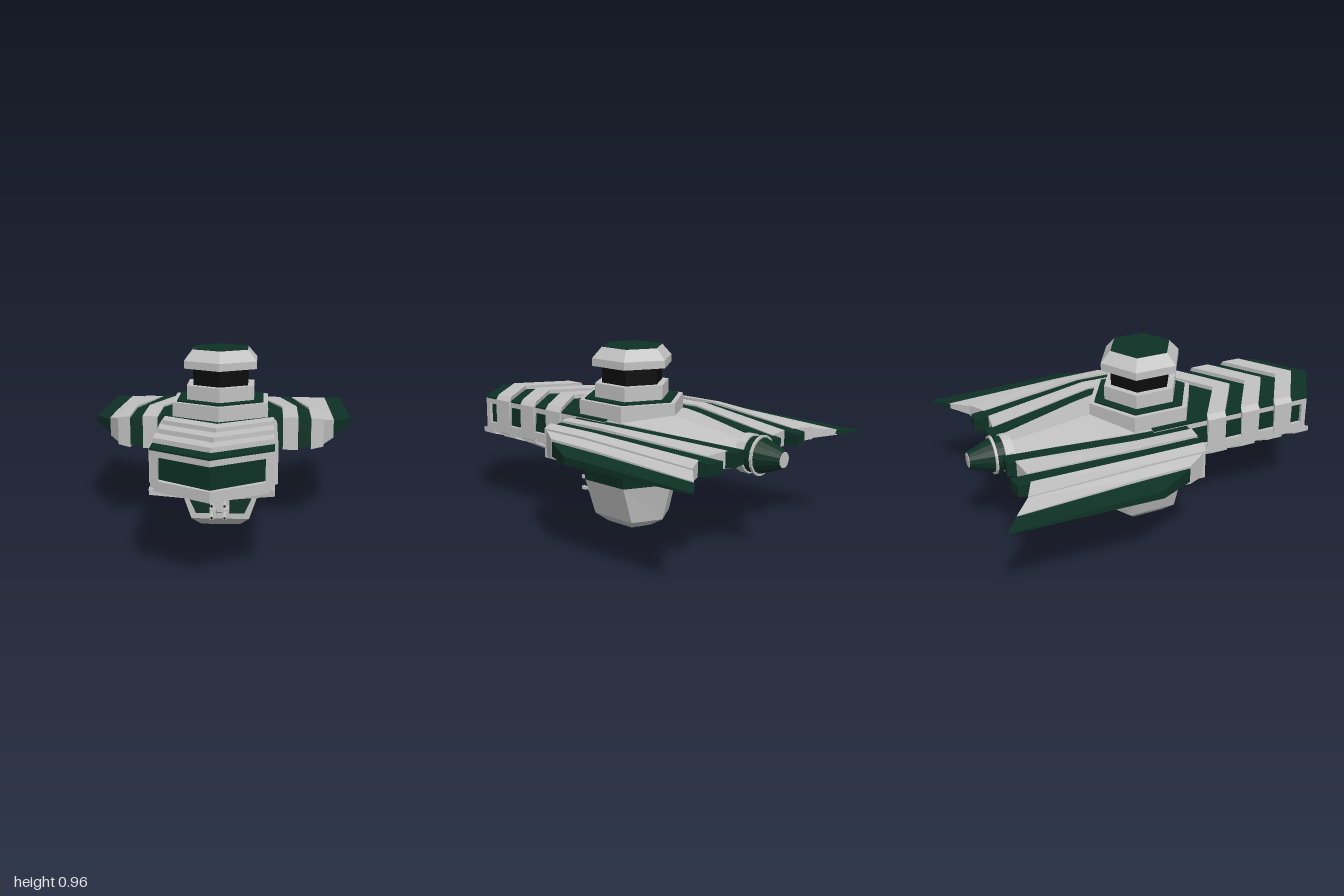
import * as THREE from 'three';

const mat = (name, color) => {
  const m = new THREE.MeshStandardMaterial({ color });
  m.name = name;
  return m;
};

export function createModel() {
  const root = new THREE.Group();
  root.name = 'spaceship';
  const grey = mat('hull grey', 0xc2c2c2);
  const green = mat('dark green', 0x0e3125);
  const black = mat('black', 0x0b0b0b);

  // Adds a mesh with flat facets
  const add = (name, geo, material) => {
    const g = geo.index ? geo.toNonIndexed() : geo;
    g.computeVertexNormals();
    const mesh = new THREE.Mesh(g, material);
    mesh.name = name;
    root.add(mesh);
    return mesh;
  };

  // Closed solid from equal-length loops of [x, y, z]; faces are turned outward
  const loft = (loops) => {
    const tris = [];
    const n = loops[0].length;
    for (let s = 0; s < loops.length - 1; s++) {
      for (let i = 0; i < n; i++) {
        const j = (i + 1) % n, p = loops[s], q = loops[s + 1];
        tris.push([p[i], p[j], q[j]], [p[i], q[j], q[i]]);
      }
    }
    const first = loops[0], last = loops[loops.length - 1];
    for (let i = 1; i < n - 1; i++) {
      tris.push([first[0], first[i + 1], first[i]], [last[0], last[i], last[i + 1]]);
    }
    let volume = 0;
    const v = tris.map((t) => t.map((p) => new THREE.Vector3(...p)));
    v.forEach(([a, b, c]) => { volume += a.dot(b.clone().cross(c)); });
    const pts = v.flatMap((t) => (volume < 0 ? [t[0], t[2], t[1]] : t));
    return new THREE.BufferGeometry().setFromPoints(pts);
  };
  const flipX = (loops) => loops.map((l) => l.map(([x, y, z]) => [-x, y, z]));
  const addPair = (name, loops, material) => {
    add(name + 'Left', loft(loops), material);
    add(name + 'Right', loft(flipX(loops)), material);
  };

  // Upright slab from a plan outline of [x, z]
  const slab = (outline, y0, y1) =>
    loft([y0, y1].map((y) => outline.map(([x, z]) => [x, y, z])));
  const TIP = 0.185;
  const arrow = (w, side, back) => [[-w, back], [-w, side], [0, side + TIP], [w, side], [w, back]];

  // Six-sided command tower
  const tier = (name, y0, y1, rBottom, rTop, material) => {
    const m = add(name, new THREE.CylinderGeometry(rTop, rBottom, y1 - y0, 6), material);
    m.position.set(0, (y0 + y1) / 2, -0.048);
  };
  tier('towerBase', 0.56, 0.688, 0.288, 0.288, grey);
  tier('towerTrim', 0.688, 0.696, 0.26, 0.26, green);
  tier('towerStep', 0.69, 0.77, 0.204, 0.204, grey);
  tier('towerNeck', 0.77, 0.86, 0.166, 0.166, black);
  tier('towerCapRim', 0.86, 0.9, 0.219, 0.219, grey);
  tier('towerCapSlope', 0.9, 0.957, 0.219, 0.167, grey);
  tier('towerRoof', 0.957, 0.96, 0.165, 0.165, green);

  // Forward hull: green core between grey rails
  add('hullCore', slab(arrow(0.262, 0.788, -0.1), 0.42, 0.606), green);
  add('hullTop', slab(arrow(0.28, 0.81, -0.1), 0.604, 0.613), green);
  add('upperRail', slab(arrow(0.28, 0.81, -0.1), 0.576, 0.604), grey);
  add('lowerRail', slab(arrow(0.28, 0.81, -0.1), 0.415, 0.466), grey);
  addPair('noseCornerPost', [0.45, 0.59].map((y) =>
    [[0.24, y, 0.836], [0.28, y, 0.81], [0.28, y, 0.782], [0.24, y, 0.782]]), grey);

  // Raised chevron bands around the hull
  for (const z of [0.2, 0.4, 0.6]) {
    const ring = (x, z0) => [[x, 0.425, z0], [x, 0.61, z0], [x - 0.02, 0.636, z0], [x - 0.02, 0.415, z0]];
    for (const m of [1, -1]) {
      const arm = [z, z + 0.105].map((z0) =>
        [...ring(0.297, z0), [0, 0.415, z0 + TIP], [0, 0.636, z0 + TIP]]);
      const loops = arm.map((a) => [a[0], a[1], a[2], a[5], a[4], a[3]]);
      add('chevronBand', loft(m > 0 ? loops : flipX(loops)), grey);
    }
  }

  // Keel wedge with slanted grey ribs
  const keelY = (z) => Math.max(0.25, 0.415 - 0.155 * (0.97 - z) / 0.7);
  add('keel', loft([[0.97, 0.02], [0.81, 0.27], [0.23, 0.27], [0, 0.245]].map(([z, w]) =>
    [[w, 0.416, z], [0, keelY(z), z], [-w, 0.416, z]])), green);
  for (const z of [0.26, 0.43, 0.6, 0.77]) {
    const end = (x, y, z0) => [[x, y, z0], [x, y, z0 + 0.095], [x, y + 0.03, z0 + 0.095], [x, y + 0.03, z0]];
    addPair('keelRib', [end(0.282, 0.403, z - 0.03), end(0, keelY(z - 0.17) - 0.006, z - 0.2)], grey);
  }

  // Central body, tapering towards the engine: z, half width, side top, side bottom, ridge, keel
  add('centralBody', loft([
    [0.08, 0.27, 0.605, 0.415, 0.635, 0.34],
    [-0.22, 0.25, 0.605, 0.42, 0.635, 0.34],
    [-0.34, 0.223, 0.598, 0.428, 0.625, 0.34],
    [-0.79, 0.115, 0.55, 0.475, 0.565, 0.435],
  ].map(([z, w, t, b, r, k]) =>
    [[0, r, z], [w, t, z], [w, b, z], [0, k, z], [-w, b, z], [-w, t, z]])), grey);

  // Wing strips: [inner, outer] edges, each with three stations of x, z, half thickness
  const MID = 0.522;
  const strip = (name, inner, outer, material) => addPair(name, inner.map(([x, z, h], i) => {
    const [X, Z, H] = outer[i];
    return [[x, MID + h, z], [X, MID + H, Z], [X, MID - H, Z], [x, MID - h, z]];
  }), material);
  strip('innerStripe', [[0.11, -0.835, 0.035], [0.245, -0.22, 0.078], [0.245, 0.08, 0.078]],
    [[0.195, -0.845, 0.035], [0.33, -0.22, 0.078], [0.33, 0.08, 0.078]], green);
  strip('innerPanel', [[0.193, -0.8, 0.042], [0.33, -0.22, 0.088], [0.33, 0.085, 0.085]],
    [[0.325, -0.785, 0.04], [0.41, -0.22, 0.09], [0.41, 0.075, 0.088]], grey);
  strip('outerStripe', [[0.318, -0.865, 0.03], [0.408, -0.22, 0.076], [0.408, 0.07, 0.076]],
    [[0.402, -0.855, 0.03], [0.48, -0.22, 0.072], [0.48, 0.065, 0.072]], green);
  strip('outerPanel', [[0.4, -0.79, 0.038], [0.478, -0.22, 0.084], [0.478, 0.075, 0.084]],
    [[0.51, -0.84, 0.032], [0.545, -0.22, 0.074], [0.545, 0.05, 0.074]], grey);
  strip('edgePanel', [[0.508, -0.84, 0.026], [0.543, -0.22, 0.064], [0.543, 0.04, 0.066]],
    [[0.61, -0.925, 0.014], [0.605, -0.3, 0.045], [0.605, -0.06, 0.05]], grey);
  strip('wingTip', [[0.605, -0.925, 0.01], [0.603, -0.4, 0.03], [0.603, -0.06, 0.038]],
    [[0.71, -1, 0.004], [0.71, -0.5, 0.014], [0.71, -0.25, 0.02]], green);

  // Tail engine, pointing backwards
  const ring = (name, z0, z1, r0, r1, material) => {
    const g = new THREE.CylinderGeometry(r0, r1, z0 - z1, 16);
    g.rotateX(Math.PI / 2);
    g.translate(0, 0.512, (z0 + z1) / 2);
    add(name, g, material);
  };
  ring('engineCollar', -0.77, -0.815, 0.097, 0.097, grey);
  ring('engineBody', -0.8, -0.87, 0.088, 0.088, green);
  ring('engineRing', -0.855, -0.868, 0.099, 0.099, grey);
  ring('engineCone', -0.868, -0.985, 0.088, 0.043, green);
  ring('engineNozzle', -0.98, -0.988, 0.04, 0.038, grey);

  // Lower pod: flat front and pointed back; y, half width, front z, corner z, back z
  const podLoop = ([y, w, f, c, b]) => [[-w, y, f], [w, y, f], [w, y, c], [0, y, b], [-w, y, c]];
  const rims = [[0.42, 0.25, 0.083, -0.19, -0.345], [0.34, 0.243, 0.083, -0.19, -0.34],
    [0.252, 0.225, 0.085, -0.185, -0.315], [0.05, 0.155, 0.08, -0.18, -0.262],
    [0.003, 0.105, 0.03, -0.14, -0.185], [0, 0.102, 0.028, -0.138, -0.182]];
  add('podNeck', loft(rims.slice(0, 3).map(podLoop)), green);
  add('pod', loft(rims.slice(2, 5).map(podLoop)), grey);
  add('podFloor', loft(rims.slice(4).map(podLoop)), green);
  add('podFrontPanel', loft([0.08, 0.088].map((z) =>
    [[-0.19, 0.215, z], [0.19, 0.215, z], [0.13, 0.083, z], [-0.13, 0.083, z]])), green);

  // Four-barrelled gun
  const box = (name, w, h, d, x, y, z, material) =>
    add(name, new THREE.BoxGeometry(w, h, d).translate(x, y, z), material);
  box('gunMount', 0.1, 0.105, 0.05, 0, 0.153, 0.11, grey);
  box('gunBody', 0.05, 0.05, 0.08, 0, 0.153, 0.14, grey);
  for (const x of [-0.033, 0.033]) {
    for (const y of [0.121, 0.185]) {
      box('barrelSocket', 0.036, 0.036, 0.08, x, y, 0.16, grey);
      box('barrel', 0.012, 0.012, 0.1, x, y, 0.24, grey);
      box('barrelTip', 0.018, 0.018, 0.03, x, y, 0.277, grey);
      box('barrelMouth', 0.011, 0.011, 0.004, x, y, 0.292, black);
    }
  }
  return root;
}
